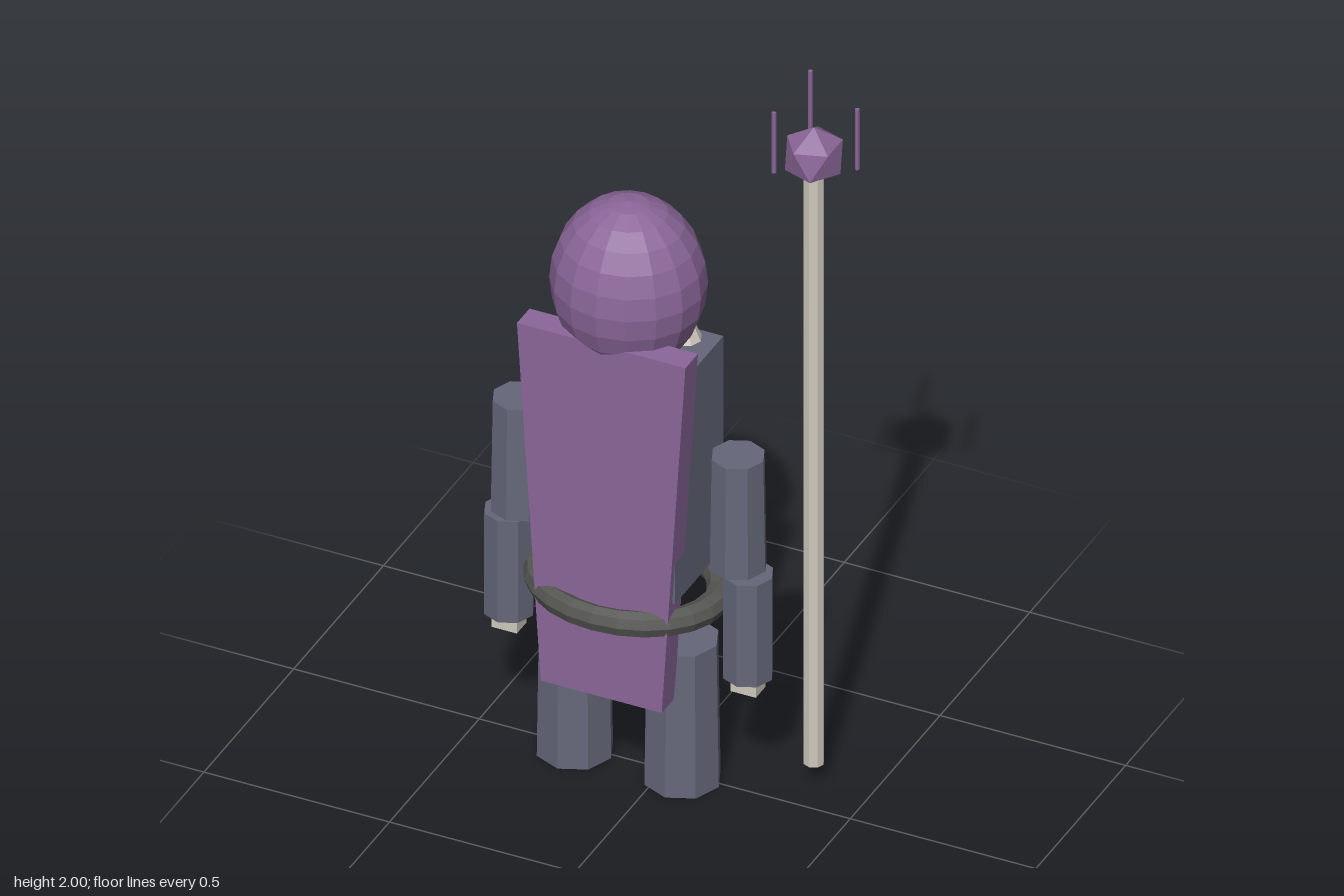
import * as THREE from 'three';

const material = (name, color) => {
  const m = new THREE.MeshStandardMaterial({ color, flatShading: true });
  m.name = name;
  return m;
};

export function createModel() {
  const root = new THREE.Group();
  root.name = 'staffBearer';
  const purple = material('purple', 0x8b6699);
  const slate = material('slate', 0x65677a);
  const dark = material('darkGrey', 0x555652);
  const bone = material('bone', 0xcfc9bd);

  const add = (parent, name, geometry, mat, x, y, z) => {
    const mesh = new THREE.Mesh(geometry, mat);
    mesh.name = name;
    mesh.position.set(x, y, z);
    parent.add(mesh);
    return mesh;
  };

  const body = new THREE.Group();
  body.name = 'body';
  body.position.set(-0.09, 0, 0.015);
  root.add(body);

  // Torso and hooded head
  add(body, 'torso', new THREE.BoxGeometry(0.38, 0.62, 0.27), slate, 0, 0.91, 0);
  add(body, 'hood', new THREE.SphereGeometry(1, 16, 12), purple, 0, 1.41, 0)
    .scale.set(0.195, 0.23, 0.185);

  // Tapered cape slab
  const cape = new THREE.Shape([
    new THREE.Vector2(-0.163, 0.285), new THREE.Vector2(0.163, 0.285),
    new THREE.Vector2(0.227, 1.31), new THREE.Vector2(-0.227, 1.31),
  ]);
  add(body, 'cape', new THREE.ExtrudeGeometry(cape, { depth: 0.07, bevelEnabled: false }),
    purple, 0, 0, 0.083);

  // Belt ring
  const belt = add(body, 'belt', new THREE.TorusGeometry(0.232, 0.035, 8, 24), dark, 0, 0.535, 0);
  belt.rotation.x = Math.PI / 2;
  belt.scale.y = 0.8;

  // Mirrored limbs, tusks and belt beads
  for (const [side, label] of [[1, 'left'], [-1, 'right']]) {
    add(body, label + 'Leg', new THREE.CylinderGeometry(0.092, 0.098, 0.41, 8), slate, side * 0.145, 0.205, 0);
    add(body, label + 'UpperArm', new THREE.CylinderGeometry(0.068, 0.073, 0.32, 8), slate, side * 0.295, 0.825, 0);
    add(body, label + 'Forearm', new THREE.CylinderGeometry(0.064, 0.064, 0.295, 8), slate, side * 0.322, 0.502, 0);
    add(body, label + 'Hand', new THREE.BoxGeometry(0.068, 0.08, 0.055), bone, side * 0.322, 0.35, 0);
    add(body, label + 'Tusk', new THREE.ConeGeometry(0.05, 0.11, 8), bone, side * 0.11, 1.255, -0.09);
    add(body, label + 'Bead', new THREE.SphereGeometry(0.042, 16, 12), bone, side * 0.088, 0.535, -0.21);
  }

  // Staff with faceted gem and three prongs
  const staff = new THREE.Group();
  staff.name = 'staff';
  staff.position.set(0.352, 0, -0.103);
  root.add(staff);
  add(staff, 'shaft', new THREE.CylinderGeometry(0.026, 0.026, 1.71, 8), bone, 0, 0.915, 0);
  add(staff, 'gem', new THREE.IcosahedronGeometry(0.08, 0), purple, 0, 1.833, 0)
    .rotation.z = 0.5536;
  for (let i = 0; i < 3; i++) {
    const a = i * Math.PI * 2 / 3;
    add(staff, 'prong', new THREE.CylinderGeometry(0.006, 0.006, 0.175, 6), purple,
      Math.cos(a) * 0.117, 1.9125, Math.sin(a) * 0.117);
  }
  return root;
}
